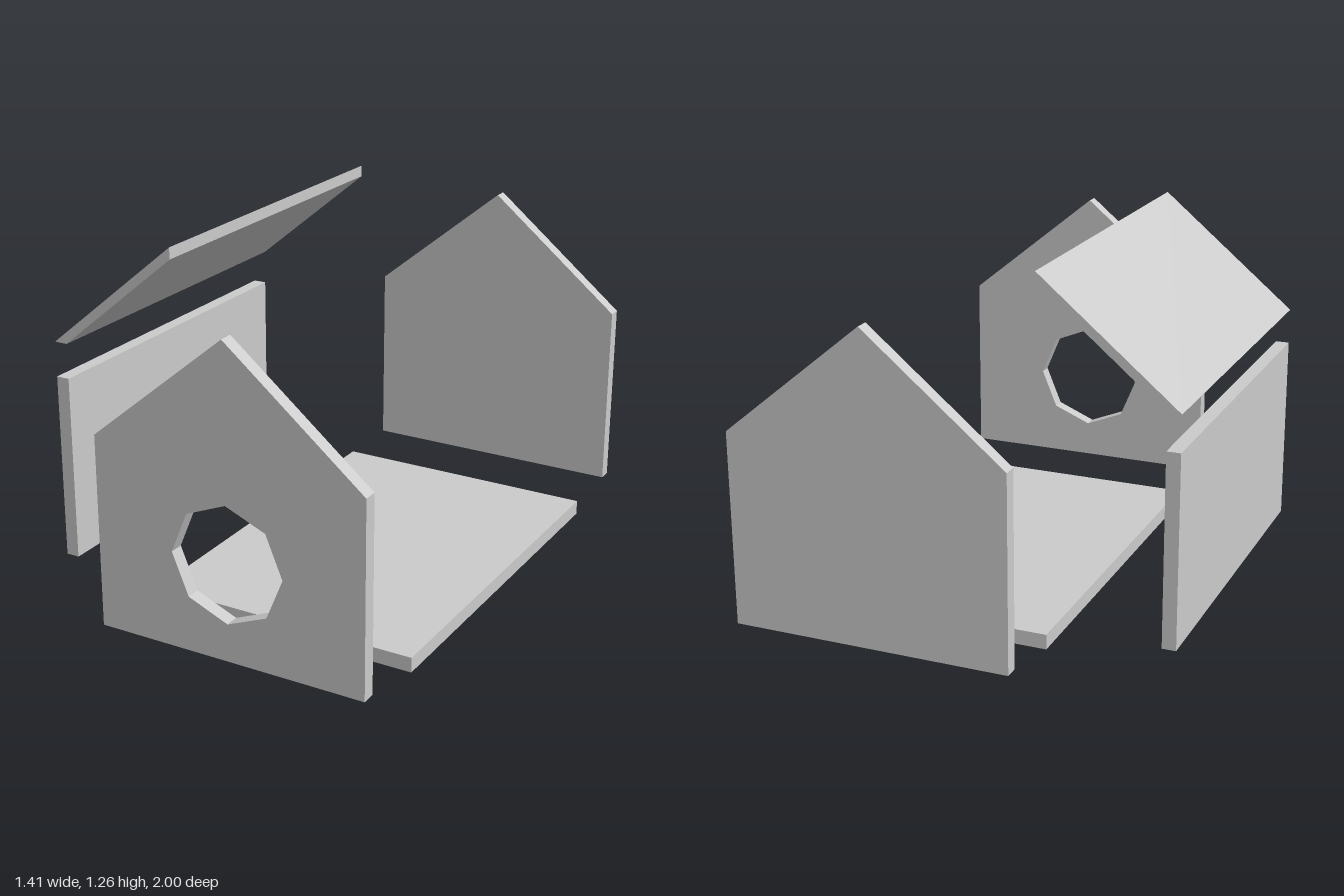
import * as THREE from 'three';

const material = new THREE.MeshStandardMaterial({ color: 0xcccccc, flatShading: true });

// Flat board with the given outline in x/y, running along z from z0 to z1
function board(name, points, z0, z1, hole) {
  const shape = new THREE.Shape(points.map(([x, y]) => new THREE.Vector2(x, y)));
  if (hole) shape.holes.push(new THREE.Path(hole));
  const geometry = new THREE.ExtrudeGeometry(shape, { depth: z1 - z0, bevelEnabled: false });
  geometry.translate(0, 0, z0);
  const mesh = new THREE.Mesh(geometry, material);
  mesh.name = name;
  return mesh;
}

const rect = (x0, y0, x1, y1) => [[x0, y0], [x1, y0], [x1, y1], [x0, y1]];

export function createModel() {
  const group = new THREE.Group();
  group.name = 'explodedBirdhouse';

  const left = 0.705, right = -0.275, middle = 0.213;
  const base = 0.053, eave = 0.73, peak = 1.133;
  const gable = [[right, base], [left, base], [left, eave], [middle, peak], [right, eave]];

  // Octagonal entrance, corners on the axes
  const entrance = [];
  for (let i = 0; i < 8; i++) {
    const a = -i * Math.PI / 4;
    entrance.push(new THREE.Vector2(middle + 0.204 * Math.cos(a), 0.39 + 0.204 * Math.sin(a)));
  }

  group.add(
    board('frontPanel', gable, 0.95, 1, entrance),
    board('backPanel', gable, -1, -0.95),
    board('floor', rect(right, 0, left, base), -0.69, 0.69),
    board('sideWall', rect(-0.705, base, -0.656, eave), -0.64, 0.64),
    // Sloping roof board, cut level at the eave and plumb at the ridge
    board('roofPanel', [[-0.705, 0.857], [-0.656, 0.857], [-0.217, 1.221], [-0.217, 1.262]], -0.64, 0.64)
  );
  return group;
}
